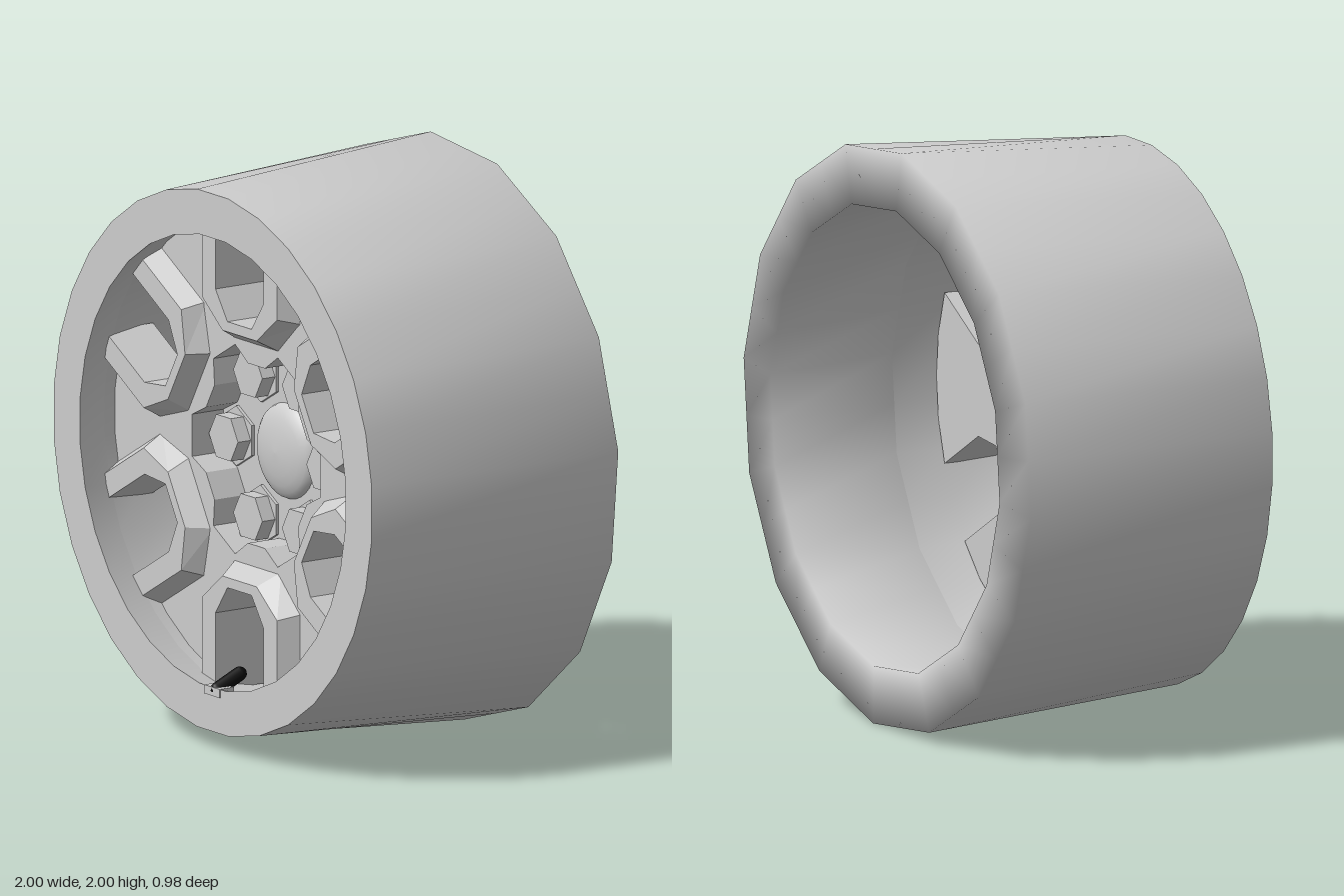
import * as THREE from 'three';
import { mergeVertices } from 'three/addons/utils/BufferGeometryUtils.js';

const SIDES = 32;
const PHASE = Math.PI / SIDES; // turns the polygon rings by half a front step
const grey = new THREE.MeshStandardMaterial({ color: 0xcccccc, side: THREE.DoubleSide });
const flat = new THREE.MeshStandardMaterial({ color: 0xcccccc, side: THREE.DoubleSide, flatShading: true });
const black = new THREE.MeshStandardMaterial({ color: 0x0a0a0a });

const vec = ([x, y]) => new THREE.Vector2(x, y);
const polar = (r, deg) => vec([r * Math.cos(deg * Math.PI / 180), r * Math.sin(deg * Math.PI / 180)]);

function add(parent, name, geometry, material) {
  const mesh = new THREE.Mesh(geometry, material);
  mesh.name = name;
  parent.add(mesh);
  return mesh;
}

// Lathe about the z axis from [radius, z] pairs; rings behind coarseZ get half as many sides
function turned(profile, coarseZ = -9) {
  const geo = new THREE.LatheGeometry(profile.map(vec), SIDES, PHASE);
  const p = geo.attributes.position;
  for (let i = 0; i < p.count; i++) {
    const odd = Math.floor(i / profile.length) % 2;
    if (odd && p.getY(i) < coarseZ) {
      const s = Math.cos(Math.PI / (SIDES / 2));
      p.setX(i, p.getX(i) * s);
      p.setZ(i, p.getZ(i) * s);
    }
  }
  geo.rotateX(Math.PI / 2);
  geo.deleteAttribute('uv');
  geo.deleteAttribute('normal');
  const merged = mergeVertices(geo);
  merged.computeVertexNormals();
  return merged;
}

// Half-outline of a U slot opening along +y, mirrored into a full one
const slot = (side, outer, shoulder, floorX, floorY) => {
  const half = [[side, outer], [side, shoulder], [floorX, floorY]];
  return [...half, ...half.map(([x, y]) => [-x, y]).reverse()];
};

// Spoke plate: disc with six open slots and a star-shaped pocket around the nuts
function spokePlate(z0, z1) {
  const outline = [];
  const pocket = [];
  for (let k = 0; k < 6; k++) {
    const turn = k * Math.PI / 3;
    for (const q of slot(0.14, 0.83, 0.56, 0.07, 0.46)) {
      outline.push(vec(q).rotateAround(new THREE.Vector2(), turn));
    }
    for (const a of [20, 30, 40]) outline.push(polar(0.845, 90 + k * 60 + a));
    for (const [r, a] of [[0.315, -21], [0.383, -11], [0.383, 11], [0.315, 21]]) {
      pocket.push(polar(r, k * 60 + a));
    }
  }
  const shape = new THREE.Shape(outline);
  shape.holes.push(new THREE.Path(pocket));
  return new THREE.ExtrudeGeometry(shape, { depth: z1 - z0, bevelEnabled: false }).translate(0, 0, z0);
}

// Shallow bulge behind the hub, its rim running between the slot corners
function hubBulge() {
  const v = [];
  const index = [];
  const rings = [[0.465, 0.18], [0.36, 0.158], [0.2, 0.142], [0.001, 0.137]];
  for (const [r, z] of rings) {
    for (let i = 0; i < 12; i++) {
      const p = polar(r, Math.floor(i / 2) * 60 + 30 + (i % 2 ? 8.65 : -8.65));
      v.push(p.x, p.y, z);
    }
  }
  for (let r = 0; r < rings.length - 1; r++) {
    for (let i = 0; i < 12; i++) {
      const a = r * 12 + i, b = r * 12 + (i + 1) % 12;
      index.push(a, a + 12, b, b, a + 12, b + 12);
    }
  }
  const geo = new THREE.BufferGeometry();
  geo.setAttribute('position', new THREE.Float32BufferAttribute(v, 3));
  geo.setIndex(index);
  geo.computeVertexNormals();
  return geo;
}

// Raised frame round a slot: strips between nested U outlines at different heights
function windowFrame() {
  const rows = [
    [slot(0.26, 0.82, 0.5, 0.13, 0.38), 0.3],
    [slot(0.22, 0.82, 0.52, 0.1, 0.425), 0.38],
    [slot(0.14, 0.82, 0.56, 0.07, 0.46), 0.38],
    [slot(0.14, 0.82, 0.56, 0.07, 0.46), 0.3],
  ].map(([pts, z]) => pts.map(([x, y]) => [x, y, z]));
  const v = [];
  for (let r = 0; r < rows.length - 1; r++) {
    for (let i = 0; i < 5; i++) {
      const a = rows[r][i], b = rows[r][i + 1], c = rows[r + 1][i + 1], d = rows[r + 1][i];
      v.push(...a, ...c, ...b, ...a, ...d, ...c);
    }
  }
  const geo = new THREE.BufferGeometry();
  geo.setAttribute('position', new THREE.Float32BufferAttribute(v, 3));
  geo.computeVertexNormals();
  return geo;
}

export function createModel() {
  const model = new THREE.Group();
  model.name = 'wheelRim';
  const wheel = new THREE.Group();
  wheel.name = 'wheel';
  wheel.position.y = 1;
  model.add(wheel);

  // Barrel: inner wall, broad rear lip and tapering outer wall
  add(wheel, 'innerBarrelFront', turned([[0.82, 0.36], [0.85, 0.2], [0.87, 0.02]], 0.1), grey);
  add(wheel, 'barrel', turned([[0.87, 0.02], [0.8, -0.487], [1.003, -0.478], [0.934, 0.49]], 0.1), grey);

  // Flat front ring and its short inner wall
  const ring = new THREE.RingGeometry(0.78, 0.934, SIDES, 1, PHASE).translate(0, 0, 0.49);
  add(wheel, 'frontRing', ring, grey);
  add(wheel, 'frontRingInnerWall', turned([[0.78, 0.49], [0.82, 0.36]]), grey);

  // Spokes and the hub behind them
  add(wheel, 'spokes', spokePlate(0.18, 0.31), flat);
  add(wheel, 'hubBack', hubBulge(), grey);
  add(wheel, 'hubFloor', new THREE.CircleGeometry(0.43, 32).translate(0, 0, 0.181), grey);

  // Domed centre cap
  const cap = [];
  for (let i = 0; i <= 6; i++) {
    const a = i / 6 * Math.PI / 2;
    cap.push([Math.max(0.165 * Math.cos(a), 0.0005), 0.18 + 0.055 * Math.sin(a)]);
  }
  add(wheel, 'centreCap', turned(cap), grey);

  // Six window frames, and six hex nuts with a corner outward on seats with a flat outward
  const frame = windowFrame();
  const hex = (r, h, z, turn) => new THREE.CylinderGeometry(r, r, h, 6).rotateX(Math.PI / 2).rotateZ(turn)
    .translate(0, 0, z);
  const nut = hex(0.085, 0.07, 0.21, Math.PI / 6);
  const seat = hex(0.104, 0.015, 0.185, 0);
  for (let k = 0; k < 6; k++) {
    add(wheel, 'windowFrame', frame, flat).rotation.z = k * Math.PI / 3;
    const at = polar(0.285, k * 60);
    for (const [name, geo] of [['nut', nut], ['nutSeat', seat]]) {
      const m = add(wheel, name, geo, flat);
      m.position.set(at.x, at.y, 0);
      m.rotation.z = k * Math.PI / 3;
    }
  }

  // Valve stem leaning in from the lower edge of the front ring
  const base = add(wheel, 'valveBase', new THREE.BoxGeometry(0.09, 0.03, 0.06), flat);
  base.position.set(0, -0.79, 0.464);
  const valve = add(wheel, 'valve', new THREE.CapsuleGeometry(0.025, 0.1, 4, 10), black);
  valve.position.set(0, -0.765, 0.425);
  valve.rotation.x = -1.14;

  return model;
}
